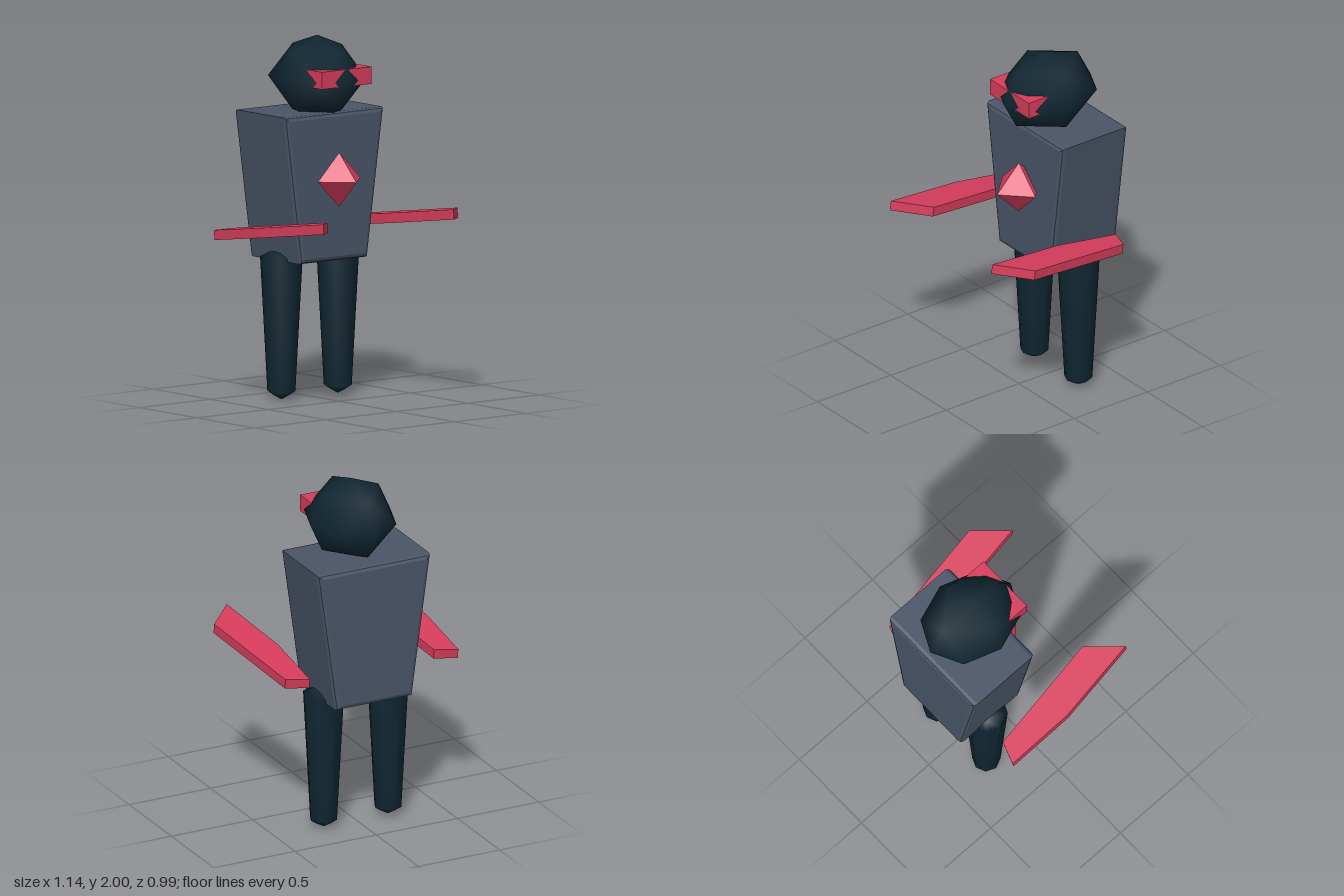
import * as THREE from 'three';

export function createModel() {
  const model = new THREE.Group();
  model.name = 'robotFigure';

  const mat = (name, color, flatShading = false) => {
    const m = new THREE.MeshStandardMaterial({ color, flatShading });
    m.name = name;
    return m;
  };
  const dark = mat('darkTeal', 0x0f2631);
  const slate = mat('slateGrey', 0x4a5567);
  const red = mat('crimson', 0xd63d5b);

  const add = (name, geometry, material, x = 0, y = 0, z = 0) => {
    const mesh = new THREE.Mesh(geometry, material);
    mesh.name = name;
    mesh.position.set(x, y, z);
    model.add(mesh);
    return mesh;
  };
  const outline = (pts) => new THREE.Shape(pts.map(([x, y]) => new THREE.Vector2(x, y)));

  // Faceted ellipsoid head with smooth normals
  const head = new THREE.OctahedronGeometry(1, 1);
  head.scale(0.247, 0.23, 0.2975);
  add('head', head, dark, 0, 1.77, -0.192);

  // Visor block; the tip of the head pokes through its middle
  add('visor', new THREE.BoxGeometry(0.35, 0.095, 0.18), red, 0, 1.79, -0.025);

  // Tapered torso with a two-step bevel on the front and back rims
  const b = 0.025;
  const torso = new THREE.ExtrudeGeometry(
    outline([[-0.213, 0.77 + b], [0.213, 0.77 + b], [0.321, 1.59 - b], [-0.321, 1.59 - b]]),
    { depth: 0.4, bevelEnabled: true, bevelSize: b, bevelThickness: b, bevelSegments: 2 }
  );
  add('torso', torso, slate, 0, 0, -0.46);

  // Chest gem, half sunk in the torso
  add('chestGem', new THREE.OctahedronGeometry(0.15), red, 0, 1.222, 0);

  // Tapered legs with blunt domed ends
  const legProfile = [[0, 0], [0.04, 0.022], [0.077, 0.047], [0.117, 0.788], [0.06, 0.815], [0, 0.83]]
    .map(([r, y]) => new THREE.Vector2(r, y));
  const leg = new THREE.LatheGeometry(legProfile, 8);
  add('leftLeg', leg, dark, 0.198, 0, -0.257);
  add('rightLeg', leg, dark, -0.198, 0, -0.257);

  // Blade arms: the same slab on both sides, rising towards the front
  const blade = new THREE.ExtrudeGeometry(
    outline([[-0.103, -0.4], [0.024, -0.355], [0.113, 0.324], [-0.052, 0.495], [-0.113, 0]]),
    { depth: 0.055, bevelEnabled: false }
  );
  blade.rotateX(Math.PI / 2);
  blade.rotateX(-0.14);
  add('leftArm', blade, red, 0.457, 1.007, 0);
  add('rightArm', blade, red, -0.457, 1.007, 0);

  return model;
}
